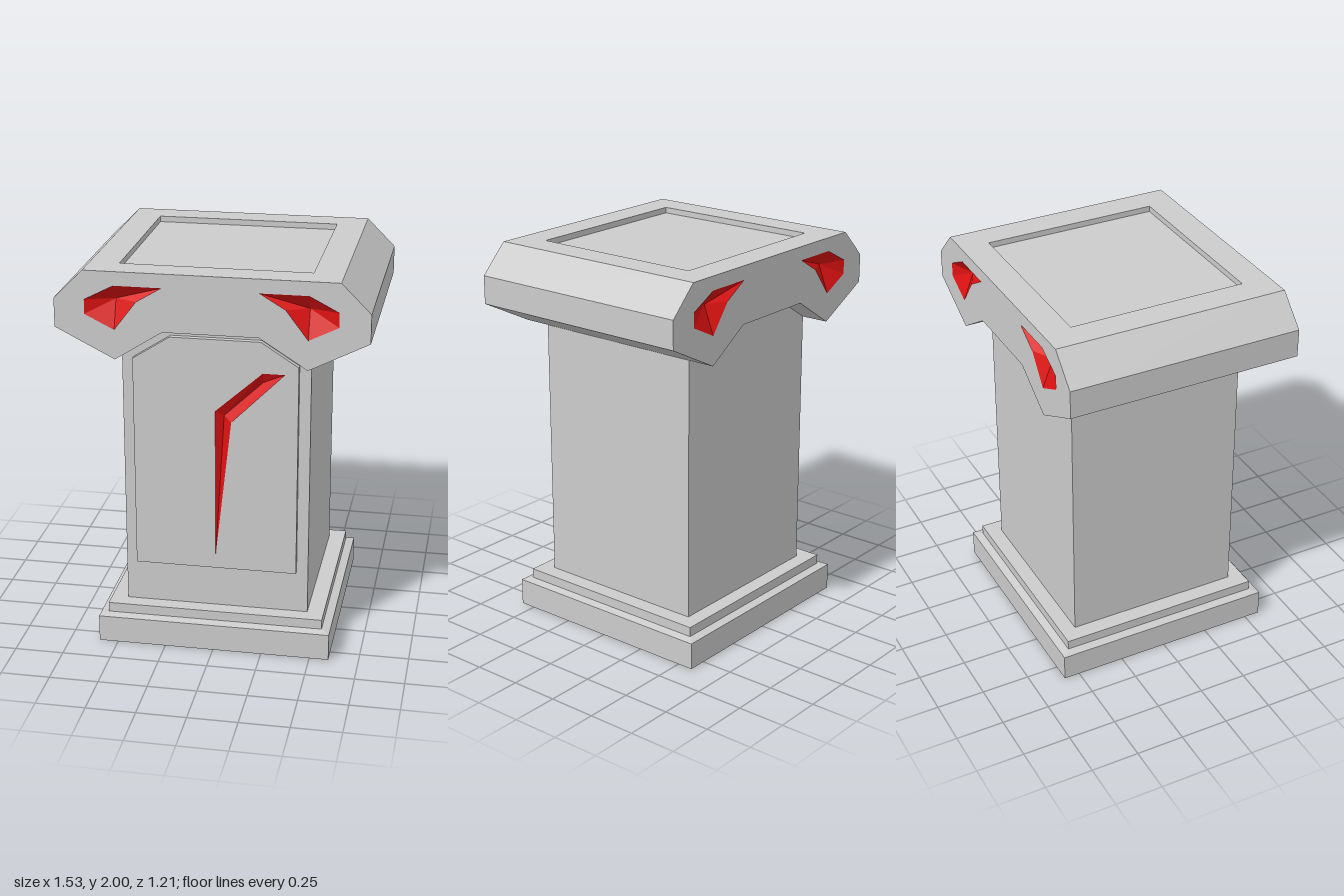
import * as THREE from 'three';

const stone = new THREE.MeshStandardMaterial({ color: 0xcccccc, flatShading: true });
const red = new THREE.MeshStandardMaterial({ color: 0xdd1111, flatShading: true });

const HEAD_Z = 0.605, RECESS_Z = 0.457, RECESS_X = 0.472, RECESS_Y = 1.97;
const COLUMN_Z = 0.46, PANEL_Z = 0.49;

const toPoints = (list) => list.map(([x, y]) => new THREE.Vector2(x, y));
const mirror = (list) => list.map(([x, y]) => [-x, y]).reverse();

function mesh(name, geometry, material = stone) {
  const m = new THREE.Mesh(geometry, material);
  m.name = name;
  return m;
}

// Box standing from y0 to y1
function block(name, width, depth, y0, y1) {
  const m = mesh(name, new THREE.BoxGeometry(width, y1 - y0, depth));
  m.position.y = (y0 + y1) / 2;
  return m;
}

// Outline extruded from z0 to z1, with optional holes
function slab(name, outline, z0, z1, holes = []) {
  const shape = new THREE.Shape(toPoints(outline));
  holes.forEach((h) => shape.holes.push(new THREE.Path(toPoints(h))));
  const g = new THREE.ExtrudeGeometry(shape, { depth: z1 - z0, bevelEnabled: false });
  return mesh(name, g.translate(0, 0, z0));
}

// Flat facets from a list of triangles of [x, y, z] corners
function facets(name, triangles) {
  const g = new THREE.BufferGeometry();
  g.setAttribute('position', new THREE.Float32BufferAttribute(triangles.flat(2), 3));
  g.computeVertexNormals();
  return mesh(name, g, red);
}

// Faceted hollow running from an outline back to one deep point
function hollow(name, outline, apex, z) {
  return facets(name, outline.map((p, i) => {
    const q = outline[(i + 1) % outline.length];
    return [[...p, z], [...q, z], apex];
  }));
}

function createModel() {
  const model = new THREE.Group();
  model.name = 'pedestal';

  // Stepped base with a slightly sloped top on the plinth
  model.add(block('plinth', 1.195, 1.165, 0, 0.14));
  const slope = block('plinthSlope', 1.195, 1.165, 0.14, 0.15);
  const pos = slope.geometry.attributes.position;
  for (let i = 0; i < pos.count; i++) {
    if (pos.getY(i) > 0) {
      pos.setX(i, Math.sign(pos.getX(i)) * 0.555);
      pos.setZ(i, Math.sign(pos.getZ(i)) * 0.54);
    }
  }
  model.add(slope);
  model.add(block('baseStep', 1.11, 1.08, 0.15, 0.2));

  // Column, its top buried in the head
  model.add(block('column', 0.94, COLUMN_Z * 2, 0.2, 1.75));

  // Raised front panel with a bent slash cut into it
  const slash = [[0, 0.5], [0.08, 1.225], [0.345, 1.49], [0.235, 1.49], [0, 1.28]];
  const panel = [[-0.412, 0.425], [0.412, 0.425], [0.412, 1.53], [0.225, 1.65], [-0.225, 1.65], [-0.412, 1.53]];
  model.add(slab('frontPanel', panel, COLUMN_Z, PANEL_Z, [slash]));
  const [tail, inner, tip, top, bend] = slash.map((p) => [...p, PANEL_Z]);
  const low = [0.04, 1.25, PANEL_Z - 0.028];
  const high = [0.235, 1.435, PANEL_Z - 0.028];
  model.add(facets('slashCut', [
    [tail, inner, low], [inner, high, low], [inner, tip, high],
    [tip, top, high], [top, bend, low], [top, low, high], [bend, tail, low],
  ]));

  // Head: a notched middle between two solid ends leaves a square recess on top
  const half = [[0.235, 1.71], [0.47, 1.56], [0.765, 1.71], [0.765, 1.855], [0.62, 2]];
  const notch = [[RECESS_X, 2], [RECESS_X, RECESS_Y]];
  const right = [...half, ...notch];
  model.add(slab('headMiddle', [...right, ...mirror(right)], -RECESS_Z, RECESS_Z));

  // Each end has a pair of faceted hollows
  const eye = [[0.235, 1.93], [0.36, 1.855], [0.47, 1.71], [0.615, 1.782], [0.615, 1.855], [0.47, 1.93]];
  const eyes = [eye, mirror(eye)];
  for (const side of ['front', 'back']) {
    const end = new THREE.Group();
    end.name = side + 'HeadEnd';
    end.add(slab('endBlock', [...half, ...mirror(half)], RECESS_Z, HEAD_Z, eyes));
    eyes.forEach((e, i) => {
      const apex = [i ? -0.47 : 0.47, 1.853, HEAD_Z - 0.055];
      end.add(hollow(i ? 'rightEye' : 'leftEye', e, apex, HEAD_Z));
    });
    if (side === 'back') end.rotation.y = Math.PI;
    model.add(end);
  }
  return model;
}

export { createModel };
